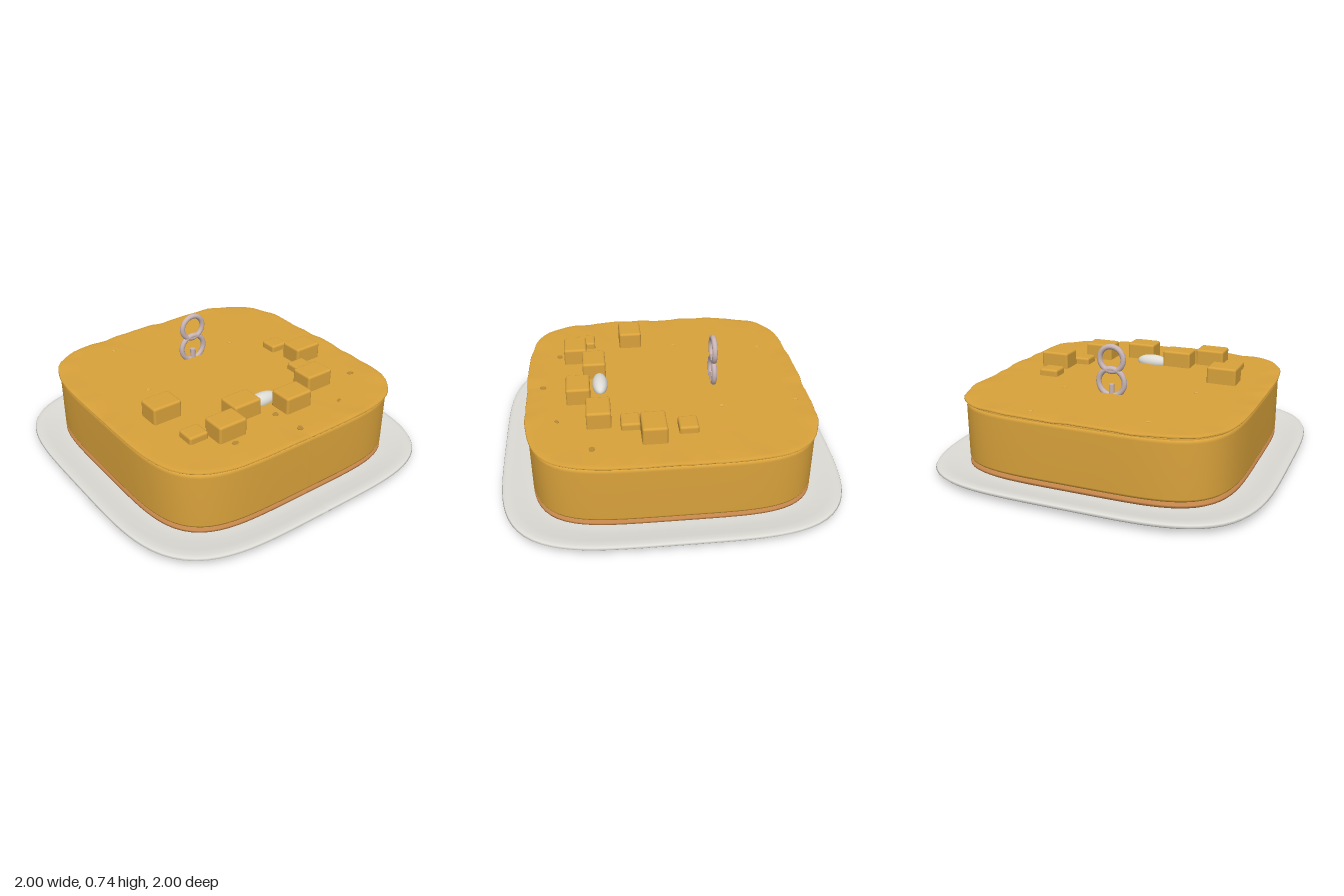
import * as THREE from 'three';
import { RoundedBoxGeometry } from 'three/addons/geometries/RoundedBoxGeometry.js';

const material = (name, color) => {
  const m = new THREE.MeshStandardMaterial({ color });
  m.name = name;
  return m;
};

// Lathe a profile [radius, y], then square its circles off into superellipses.
// Repeating a point in the profile gives a sharp edge there.
function squareLathe(profile, power, ripple = () => [0, 0]) {
  const geo = new THREE.LatheGeometry(profile.map(([r, y]) => new THREE.Vector2(r, y)), 128);
  const p = geo.attributes.position;
  for (let i = 0; i < p.count; i++) {
    const x = p.getX(i), z = p.getZ(i), r = Math.hypot(x, z);
    if (r < 1e-5) continue;
    const a = Math.atan2(z, x);
    const k = (Math.abs(x / r) ** power + Math.abs(z / r) ** power) ** (-1 / power);
    const [dr, dy] = ripple(a, r);
    p.setXYZ(i, x * k * (1 + dr), p.getY(i) + dy, z * k * (1 + dr));
  }
  geo.computeVertexNormals();
  return geo;
}

export function createModel() {
  const group = new THREE.Group();
  const gold = material('golden cake', 0xd9a23b);
  const crust = material('brown crust', 0xc4854a);
  const china = material('white china', 0xdedcd6);
  const wax = material('pale pink wax', 0xc9b4b4);
  const darkCrumb = material('dark crumb', 0xb88a34);
  const lightCrumb = material('light crumb', 0xe0ae50);

  const add = (name, geo, mat, x = 0, y = 0, z = 0, parent = group) => {
    const mesh = new THREE.Mesh(geo, mat);
    mesh.name = name;
    mesh.position.set(x, y, z);
    parent.add(mesh);
    return mesh;
  };

  // Plate with a softly raised rim
  add('plate', squareLathe([
    [0, 0], [0.86, 0], [0.91, 0.006], [0.96, 0.02], [0.99, 0.035], [1, 0.046],
    [0.995, 0.056], [0.975, 0.06], [0.94, 0.056], [0.88, 0.045], [0.83, 0.042], [0, 0.042],
  ], 4.2), china);

  // Thin crust below the cake
  add('crust', squareLathe([
    [0.78, 0.04], [0.805, 0.045], [0.82, 0.056], [0.82, 0.068], [0.805, 0.08], [0.78, 0.083],
  ], 4.6), crust);

  // Cake body with eased edges and a neck under the icing
  add('cakeBody', squareLathe([
    [0.78, 0.078], [0.805, 0.08], [0.815, 0.087], [0.82, 0.1], [0.82, 0.405],
    [0.815, 0.418], [0.81, 0.422], [0.81, 0.422], [0.81, 0.438], [0.79, 0.444],
  ], 4.6), gold);

  // Icing sheet whose lip ripples a little
  const ripple = (a, r) => {
    if (r < 0.76) return [0, 0];
    const w = Math.sin(a * 11 + 1) * 0.5 + Math.sin(a * 23) * 0.3 + Math.sin(a * 37 + 2) * 0.2;
    return [w * 0.005, w * 0.006];
  };
  add('icingTop', squareLathe([
    [0.7, 0.435], [0.8, 0.435], [0.828, 0.438], [0.832, 0.443],
    [0.828, 0.449], [0.8, 0.45], [0.7, 0.45], [0, 0.45],
  ], 4.6, ripple), gold);

  // Cake cubes scattered along the front
  const largeCube = new RoundedBoxGeometry(0.18, 0.115, 0.14, 3, 0.014);
  const smallCube = new RoundedBoxGeometry(0.12, 0.06, 0.11, 3, 0.014);
  [[-0.535, 0.18], [-0.355, 0.537], [-0.167, 0.425], [0.118, 0.525], [0.375, 0.415], [0.55, 0.118]]
    .forEach(([x, z]) => add('largeCube', largeCube, gold, x, 0.4925, z));
  [[-0.515, 0.465], [0.437, 0.24], [0.5, -0.078]]
    .forEach(([x, z]) => add('smallCube', smallCube, gold, x, 0.462, z));

  // White almond-shaped piece among the cubes
  add('almond', new THREE.SphereGeometry(1, 32, 20), china, 0.005, 0.46, 0.395)
    .scale.set(0.105, 0.045, 0.046);

  // Candle made of two stacked rings on a short peg
  const candle = new THREE.Group();
  candle.name = 'candle';
  candle.position.z = -0.29;
  group.add(candle);
  add('upperRing', new THREE.TorusGeometry(0.073, 0.016, 14, 48), wax, 0, 0.655, 0, candle);
  add('lowerRing', new THREE.TorusGeometry(0.08, 0.016, 14, 48), wax, 0, 0.517, 0, candle);
  add('peg', new THREE.CylinderGeometry(0.016, 0.016, 0.07, 20), wax, 0, 0.47, 0, candle);

  // Flat crumbs on the icing
  const crumb = new THREE.CylinderGeometry(0.022, 0.022, 0.004, 6);
  [[-0.37, 0.64], [0, 0.735], [0.37, 0.65], [0.65, 0.46], [-0.02, 0.55]].forEach(([x, z], i) => {
    const m = add('darkCrumb', crumb, darkCrumb, x, 0.45, z);
    m.scale.set(i === 2 ? 0.5 : 1, 1, 0.8);
    m.rotation.y = i;
  });
  [[-0.37, -0.65], [0.28, -0.74], [-0.45, -0.1], [0.3, -0.3]].forEach(([x, z], i) => {
    const m = add('lightCrumb', crumb, lightCrumb, x, 0.45, z);
    m.scale.set(0.6, 1, 0.5);
    m.rotation.y = i;
  });
  return group;
}
